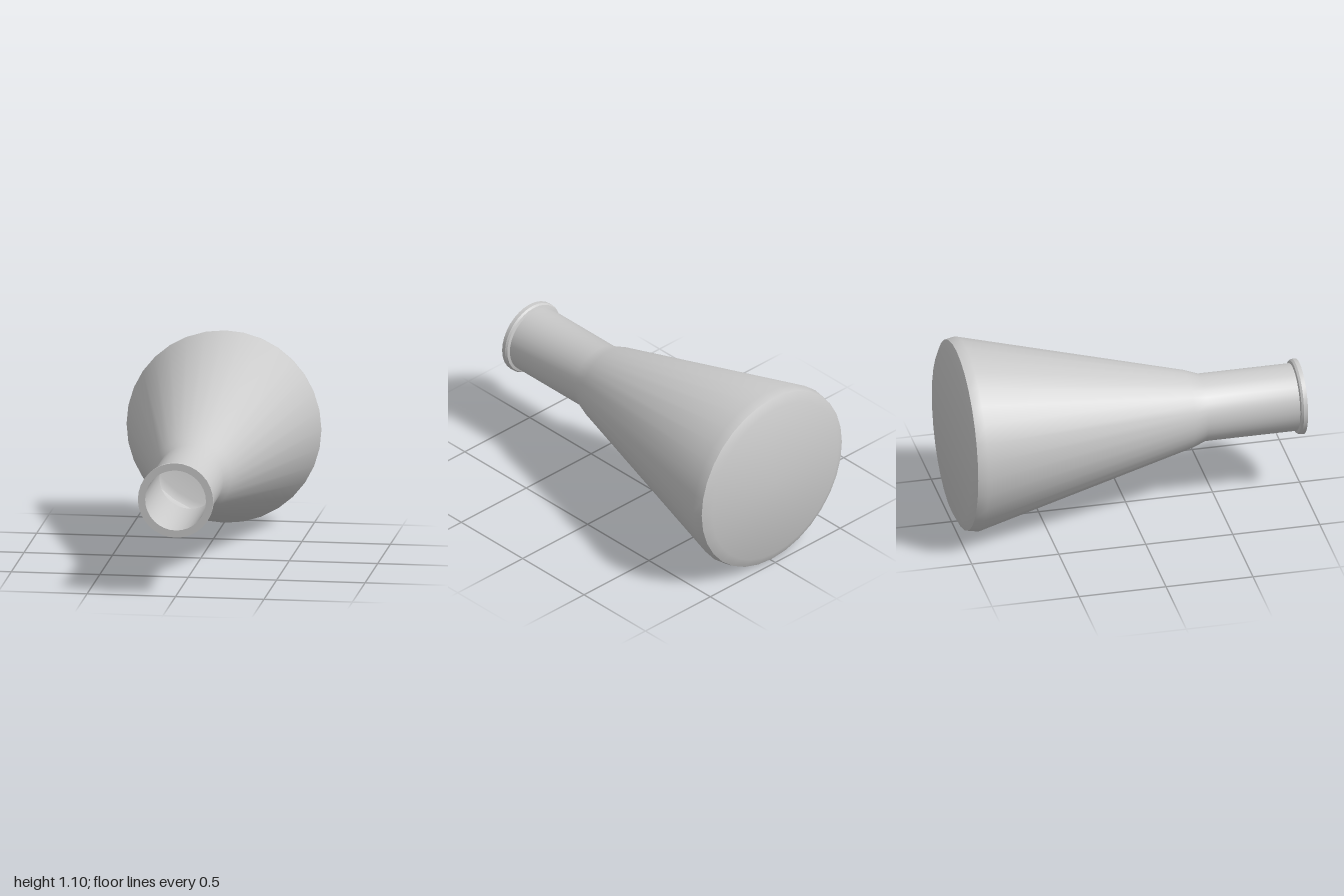
import * as THREE from 'three';
import { toCreasedNormals } from 'three/addons/utils/BufferGeometryUtils.js';

const SIDES = 32;
const AXIS_HEIGHT = 0.552;

// Spins a [radius, z] profile around the z axis.
function lathePart(name, profile, material) {
  const points = profile.map(([r, z]) => new THREE.Vector2(r, z));
  const geometry = new THREE.LatheGeometry(points, SIDES).rotateX(Math.PI / 2);
  const mesh = new THREE.Mesh(toCreasedNormals(geometry, Math.PI / 6), material);
  mesh.name = name;
  mesh.position.y = AXIS_HEIGHT;
  return mesh;
}

export function createModel() {
  const group = new THREE.Group();
  group.name = 'conicalFlask';
  const glass = new THREE.MeshStandardMaterial({ color: 0xcccccc });

  // Outer wall: flat base, bevelled heel, cone, shoulder and straight neck
  group.add(lathePart('outerWall', [
    [0, -1], [0.485, -1], [0.54, -0.972], [0.551, -0.915],
    [0.222, 0.35], [0.191, 0.435], [0.191, 0.96],
  ], glass));

  // Rolled lip around the mouth
  group.add(lathePart('lip', [
    [0.191, 0.96], [0.206, 0.965], [0.213, 0.977], [0.213, 1], [0.172, 1],
  ], glass));

  // Inner wall, from the mouth down to the inside of the base
  group.add(lathePart('innerWall', [
    [0.172, 1], [0.172, 0.435], [0.202, 0.35],
    [0.53, -0.912], [0.522, -0.958], [0.48, -0.98], [0, -0.98],
  ], glass));

  return group;
}
